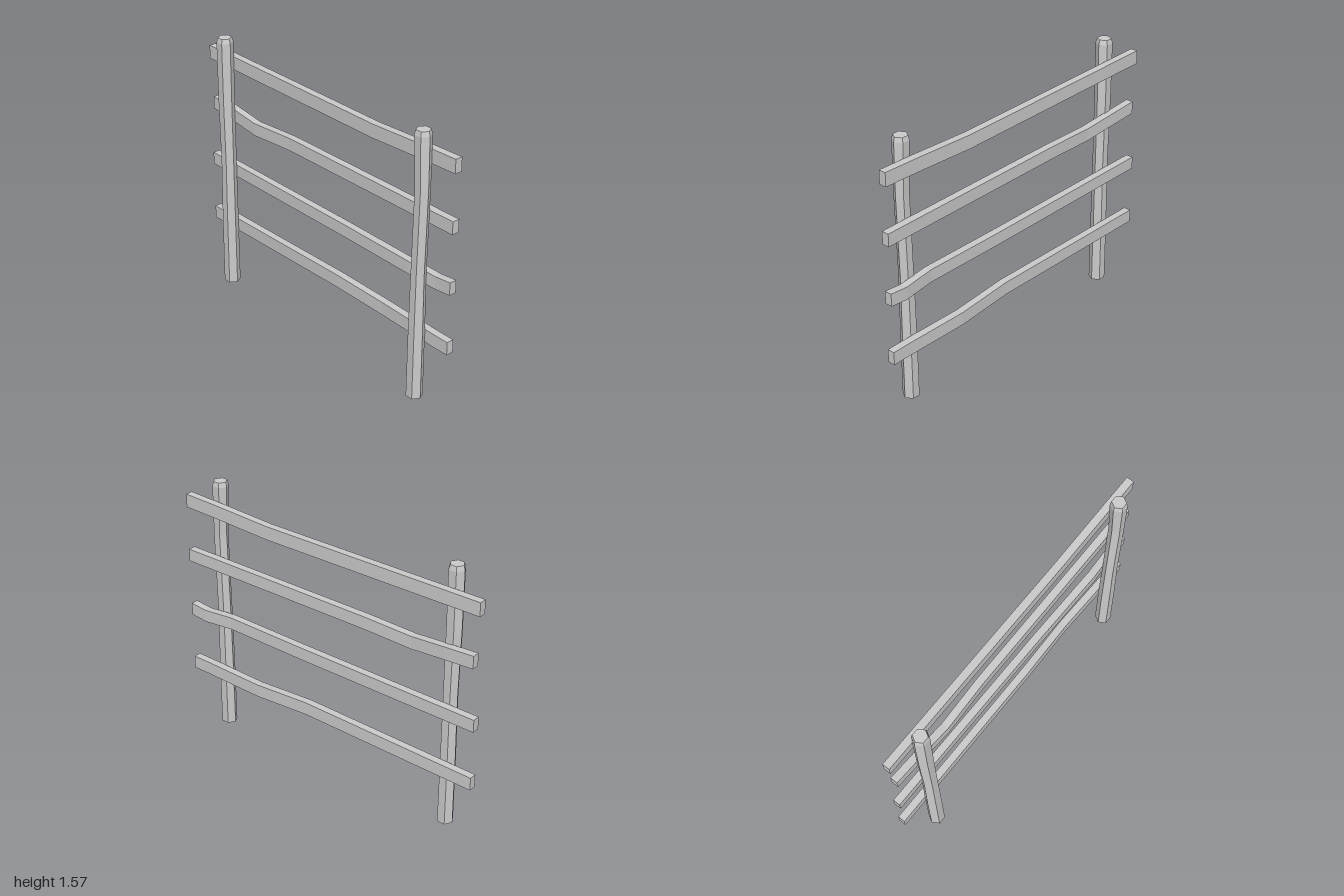
import * as THREE from 'three';

const material = new THREE.MeshStandardMaterial({ color: 0xcccccc, flatShading: true });

// Skins a series of equal cross-section rings (counter-clockwise about the axis) and caps both ends.
function loft(name, rings) {
  const n = rings[0].length;
  const index = [];
  for (let i = 0; i < rings.length - 1; i++) {
    for (let j = 0; j < n; j++) {
      const k = (j + 1) % n;
      const a = i * n + j, b = i * n + k, c = b + n, d = a + n;
      index.push(a, b, c, a, c, d);
    }
  }
  const last = (rings.length - 1) * n;
  for (let j = 1; j < n - 1; j++) {
    index.push(0, j + 1, j, last, last + j, last + j + 1);
  }
  const indexed = new THREE.BufferGeometry();
  indexed.setAttribute('position', new THREE.Float32BufferAttribute(rings.flat(2), 3));
  indexed.setIndex(index);
  const geometry = indexed.toNonIndexed();
  geometry.computeVertexNormals();
  const mesh = new THREE.Mesh(geometry, material);
  mesh.name = name;
  return mesh;
}

// Six-sided post; stations are [y, centre x, radius].
function post(name, stations) {
  return loft(name, stations.map(([y, x, r]) =>
    Array.from({ length: 6 }, (_, i) => {
      const a = (i * Math.PI) / 3;
      return [x + r * Math.cos(a), y, 0.026 - r * Math.sin(a)];
    })));
}

// Rectangular rail; stations are [x, centre y, z offset].
function rail(name, height, stations) {
  const h = height / 2, t = 0.022;
  return loft(name, stations.map(([x, y, dz = 0]) => {
    const z = -0.035 + dz;
    return [[x, y + h, z - t], [x, y + h, z + t], [x, y - h, z + t], [x, y - h, z - t]];
  }));
}

export function createModel() {
  const fence = new THREE.Group();
  fence.name = 'fence';

  // Slightly crooked posts with chamfered tops
  fence.add(
    post('rightPost', [
      [0, -0.796, 0.048], [0.4, -0.796, 0.047], [0.8, -0.794, 0.044],
      [1.2, -0.798, 0.047], [1.545, -0.797, 0.048], [1.572, -0.797, 0.04],
    ]),
    post('leftPost', [
      [0, 0.81, 0.047], [0.4, 0.81, 0.046], [0.75, 0.81, 0.042],
      [1.25, 0.819, 0.042], [1.545, 0.81, 0.047], [1.572, 0.81, 0.04],
    ]),
  );

  // Bent rails fixed behind the posts
  fence.add(
    rail('topRail', 0.08, [
      [-1, 1.413], [-0.3, 1.408], [0.4, 1.403], [0.76, 1.418], [1, 1.425],
    ]),
    rail('upperRail', 0.075, [
      [-0.977, 1.103], [-0.8, 1.09, 0.004], [-0.58, 1.07, 0.012], [-0.28, 1.083, 0.003], [1, 1.083],
    ]),
    rail('lowerRail', 0.075, [
      [-1, 0.732], [0.2, 0.732, 0.003], [0.7, 0.732, 0.011], [0.89, 0.72], [1, 0.731],
    ]),
    rail('bottomRail', 0.078, [
      [-1, 0.37], [-0.75, 0.373], [0.13, 0.386], [0.49, 0.371, -0.011], [0.9, 0.37], [1, 0.37],
    ]),
  );

  return fence;
}
